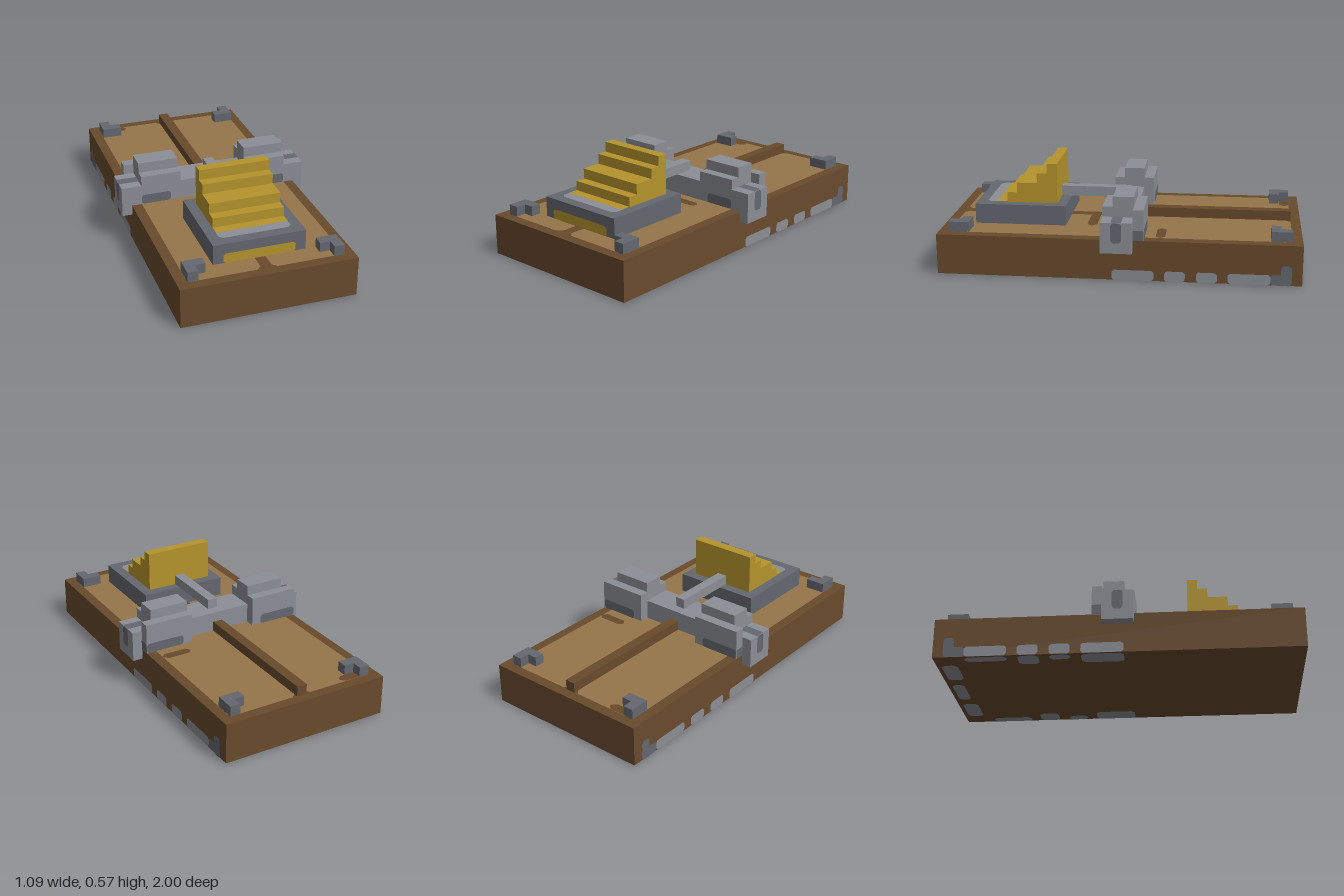
import * as THREE from 'three';

export function createModel() {
  const model = new THREE.Group();
  const mat = (name, color) => {
    const m = new THREE.MeshStandardMaterial({ color });
    m.name = name;
    return m;
  };
  const darkWood = mat('dark wood', 0x684a2c);
  const lightWood = mat('light wood', 0x96764a);
  const steel = mat('light steel', 0x8b8e95);
  const iron = mat('dark iron', 0x64676f);
  const gold = mat('gold', 0xb5942c);

  // box given by its limits on each axis
  const box = (name, m, x0, x1, y0, y1, z0, z1) => {
    const mesh = new THREE.Mesh(new THREE.BoxGeometry(x1 - x0, y1 - y0, z1 - z0), m);
    mesh.position.set((x0 + x1) / 2, (y0 + y1) / 2, (z0 + z1) / 2);
    mesh.name = name;
    model.add(mesh);
  };
  // same box on either side
  const pair = (name, m, x0, x1, ...rest) => {
    box(name + 'Left', m, x0, x1, ...rest);
    box(name + 'Right', m, -x1, -x0, ...rest);
  };

  // flat painted patch with clipped corners, turned to face one direction
  const turns = {
    up: [-Math.PI / 2, 0], down: [Math.PI / 2, 0], left: [0, Math.PI / 2],
    right: [0, -Math.PI / 2], front: [0, 0], back: [0, Math.PI],
  };
  const patch = (name, m, facing, w, h, x, y, z, c = 0.012) => {
    const a = w / 2, b = h / 2;
    const shape = new THREE.Shape([
      [-a + c, -b], [a - c, -b], [a, -b + c], [a, b - c],
      [a - c, b], [-a + c, b], [-a, b - c], [-a, -b + c],
    ].map(p => new THREE.Vector2(...p)));
    const mesh = new THREE.Mesh(new THREE.ShapeGeometry(shape), m);
    mesh.rotation.set(turns[facing][0], turns[facing][1], 0);
    mesh.position.set(x, y, z);
    mesh.name = name;
    model.add(mesh);
  };

  // wooden slab, its two top panels and the rear rib
  const top = 0.229;
  box('slab', darkWood, -0.486, 0.486, 0.003, top, -1, 1);
  for (const s of [-1, 1]) patch('topPanel', lightWood, 'up', 0.4, 1.888, s * 0.23, top + 0.002, 0, 0.025);
  patch('panelMark', darkWood, 'up', 0.17, 0.052, 0.345, top + 0.004, -0.23, 0.022);
  patch('panelMark', darkWood, 'up', 0.22, 0.055, 0.135, top + 0.004, 0.17, 0.022);
  patch('panelMark', darkWood, 'up', 0.17, 0.055, -0.345, top + 0.004, -0.917, 0.022);
  box('rearRib', darkWood, -0.029, 0.029, top, 0.286, -0.945, -0.086);

  // L-shaped corner brackets
  for (const s of [-1, 1]) {
    const z = (a, b) => (s > 0 ? [a, b] : [-b, -a]);
    pair('bracketLong', iron, 0.371, 0.429, top, 0.286, ...z(0.829, 0.943));
    pair('bracketShort', iron, 0.314, 0.371, top, 0.286, ...z(0.829, 0.886));
  }

  // cross bar, arm and stepped clamps
  box('crossBar', steel, -0.2, 0.2, top, 0.343, -0.086, 0.086);
  box('arm', steel, -0.029, 0.029, 0.343, 0.4, -0.029, 0.372);
  pair('clampBlock', steel, 0.2, 0.429, top, 0.4, -0.086, 0.086);
  pair('clampBack', steel, 0.2, 0.486, top, 0.4, -0.143, -0.086);
  pair('clampCap', steel, 0.2, 0.429, 0.4, 0.457, -0.086, 0.029);
  pair('clampHook', steel, 0.429, 0.543, 0.171, 0.343, -0.086, 0.086);
  for (const s of [-1, 1]) {
    const side = s > 0 ? 'left' : 'right';
    patch('hookTopStripe', iron, 'up', 0.114, 0.057, s * 0.486, 0.345, 0, 0);
    patch('hookSideStripe', iron, side, 0.057, 0.112, s * 0.545, 0.287, 0);
    patch('clampFrontPatch', iron, 'front', 0.17, 0.057, s * 0.343, 0.258, 0.088);
    patch('clampBackPatch', iron, 'back', 0.23, 0.057, s * 0.37, 0.258, -0.145);
    patch('clampSidePatch', iron, side, 0.057, 0.057, s * 0.488, 0.258, -0.114, 0);
  }

  // iron plinth with gold front and pale ledge
  box('plinth', iron, -0.257, 0.257, top, 0.343, 0.314, 0.829);
  patch('plinthPlate', gold, 'front', 0.4, 0.057, 0, 0.258, 0.831);
  patch('plinthLedge', steel, 'up', 0.4, 0.09, 0, 0.345, 0.727, 0.02);
  patch('stairFoot', gold, 'up', 0.4, 0.057, 0, 0.347, 0.686, 0);

  // golden staircase, one stepped profile
  const profile = new THREE.Shape([
    [0.371, 0.343], [0.657, 0.343], [0.657, 0.4], [0.6, 0.4], [0.6, 0.457],
    [0.486, 0.457], [0.486, 0.514], [0.429, 0.514], [0.429, 0.571], [0.371, 0.571],
  ].map(p => new THREE.Vector2(-p[0], p[1])));
  const stairs = new THREE.Mesh(
    new THREE.ExtrudeGeometry(profile, { depth: 0.4, bevelEnabled: false }), gold);
  stairs.rotation.y = Math.PI / 2;
  stairs.position.x = -0.2;
  stairs.name = 'stairs';
  model.add(stairs);

  // steel flecks along the lower edges, wrapping under the slab
  const flecks = [[-0.2, 0.03], [-0.37, -0.257], [-0.543, -0.43], [-0.83, -0.6]];
  for (const s of [-1, 1]) {
    const side = s > 0 ? 'left' : 'right';
    flecks.forEach(([a, b], i) => {
      const mid = (a + b) / 2;
      patch('edgeFleck', steel, side, b - a, 0.058, s * 0.488, 0.032, mid);
      patch('underFleck', steel, 'down', i % 2 ? 0.06 : 0.11, b - a, s * (i % 2 ? 0.45 : 0.425), 0, mid, 0.02);
    });
    patch('cornerFleck', iron, side, 0.114, 0.058, s * 0.488, 0.032, -0.886);
    patch('cornerFleckTall', iron, side, 0.057, 0.112, s * 0.49, 0.059, -0.914);
    patch('underRearFleck', steel, 'down', 0.2, 0.09, s * 0.28, 0, -0.93, 0.02);
  }
  patch('underRearFleck', steel, 'down', 0.22, 0.07, 0, 0, -0.94, 0.02);

  return model;
}
